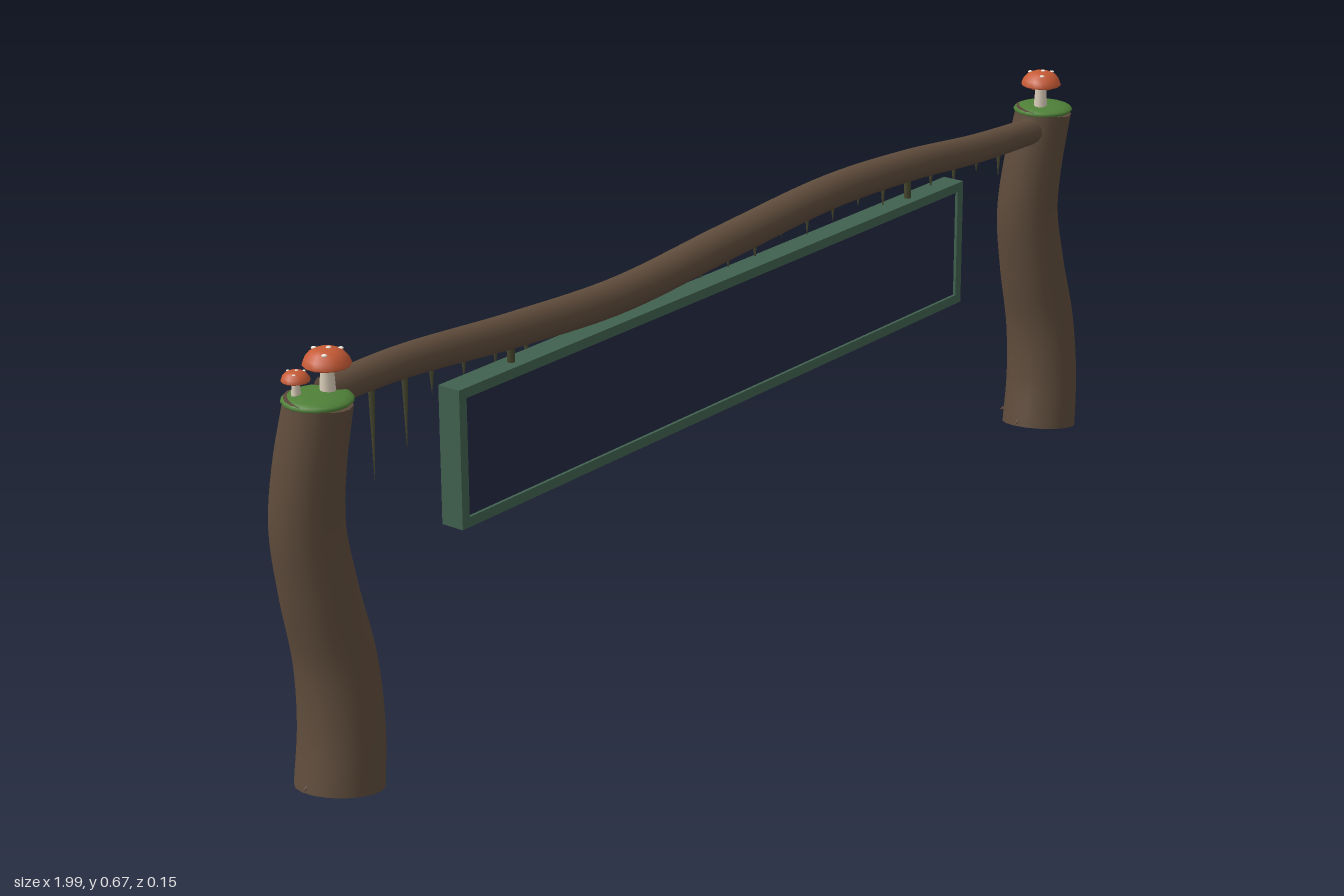
import * as THREE from 'three';

const mat = (color, side = THREE.FrontSide) =>
  new THREE.MeshStandardMaterial({ color, roughness: 0.9, side });
const BARK = mat(0x5f4c3c), FRAME = mat(0x41614f), PANEL = mat(0x23283f), MOSS = mat(0x4f8038),
  CAP = mat(0xc65a35, THREE.DoubleSide), STEM = mat(0xd8ccb8), SPOT = mat(0xeee6d8),
  VINE = mat(0x45452e), THORN = mat(0x574238);

function add(parent, name, geometry, material, x = 0, y = 0, z = 0) {
  const mesh = new THREE.Mesh(geometry, material);
  mesh.name = name;
  mesh.position.set(x, y, z);
  parent.add(mesh);
  return mesh;
}

const curveOf = pts => new THREE.CatmullRomCurve3(pts.map(p => new THREE.Vector3(...p)));

// Tapered log along a curve, closed by a disc at both ends
function log(parent, name, curve, radiusAt, segments, sides) {
  const group = new THREE.Group();
  group.name = name;
  parent.add(group);
  const geo = new THREE.TubeGeometry(curve, segments, 1, sides);
  const pos = geo.attributes.position, v = new THREE.Vector3();
  for (let i = 0; i <= segments; i++) {
    const t = i / segments, c = curve.getPointAt(t);
    for (let j = 0; j <= sides; j++) {
      const k = i * (sides + 1) + j;
      v.fromBufferAttribute(pos, k).sub(c).multiplyScalar(radiusAt(t)).add(c);
      pos.setXYZ(k, v.x, v.y, v.z);
    }
  }
  add(group, name + 'Bark', geo, BARK);
  for (const t of [0, 1]) {
    const end = curve.getPointAt(t);
    const disc = add(group, name + 'End', new THREE.CircleGeometry(radiusAt(t), sides), BARK, end.x, end.y, end.z);
    const out = curve.getTangentAt(t).multiplyScalar(t ? 1 : -1);
    disc.quaternion.setFromUnitVectors(new THREE.Vector3(0, 0, 1), out);
  }
  return group;
}

// Mushroom with a domed cap, stem and pale spots; base at y = 0
function mushroom(parent, name, x, y, z, r, height) {
  const g = new THREE.Group();
  g.name = name;
  g.position.set(x, y, z);
  parent.add(g);
  const capH = r * 0.72, base = height - capH;
  const profile = [[0.28, 0.1], [0.95, 0], [1, 0.1], [0.9, 0.45], [0.7, 0.78], [0.4, 0.96], [0, 1]]
    .map(([a, b]) => new THREE.Vector2(a * r, b * capH));
  add(g, 'mushroomCap', new THREE.LatheGeometry(profile, 14), CAP, 0, base, 0);
  add(g, 'mushroomStem', new THREE.CylinderGeometry(r * 0.26, r * 0.34, base + capH * 0.2, 10), STEM,
    0, (base + capH * 0.2) / 2, 0);
  for (let i = 0; i < 6; i++) {
    const a = i * 2.1 + 0.4, d = i ? 0.62 : 0.1;
    const spot = add(g, 'mushroomSpot', new THREE.SphereGeometry(r * 0.12, 8, 6), SPOT,
      Math.cos(a) * d * r, base + capH * (i ? 0.84 : 0.99), Math.sin(a) * d * r);
    spot.scale.y = 0.5;
  }
}

// Thorn pointing outward and slightly down
function thorn(parent, x, y, z, dir, r, length) {
  const cone = add(parent, 'rootThorn', new THREE.ConeGeometry(r, length, 7), THORN, x, y, z);
  cone.quaternion.setFromUnitVectors(new THREE.Vector3(0, 1, 0), new THREE.Vector3(...dir).normalize());
}

export function createModel() {
  const model = new THREE.Group();
  model.name = 'hangingSign';

  // Posts share one bent shape; only their caps are mirrored
  for (const [side, x] of [[-1, -0.925], [1, 0.916]]) {
    const post = new THREE.Group();
    post.name = side < 0 ? 'rightPost' : 'leftPost';
    post.position.x = x;
    model.add(post);
    const curve = curveOf([[-0.001, 0.012, 0.011], [0.013, 0.1, 0.005], [0.015, 0.2, -0.004],
      [-0.003, 0.31, -0.013], [-0.015, 0.41, -0.018], [-0.012, 0.5, -0.012], [0, 0.6, 0]]);
    log(post, 'trunk', curve, t => 0.066 - 0.017 * t, 28, 18);

    thorn(post, 0.062, 0.022, 0.0, [1, -0.4, 0], 0.007, 0.024);
    thorn(post, -0.062, 0.03, 0.005, [-1, -0.4, 0], 0.007, 0.02);
    thorn(post, 0.0, 0.026, -0.057, [0, -0.55, -1], 0.013, 0.04);

    // Moss cushion and mushrooms
    const moss = add(post, 'moss', new THREE.SphereGeometry(0.052, 18, 10), MOSS, 0, 0.601, -0.002);
    moss.scale.y = 0.21;
    mushroom(post, 'largeMushroom', -side * 0.016, 0.605, 0.003, 0.035, 0.068);
    mushroom(post, 'smallMushroom', side * 0.022, 0.605, -0.021, 0.021, 0.04);
  }

  // Wavy crossbeam
  const beam = curveOf([[-0.9, 0.603, -0.01], [-0.75, 0.602, -0.011], [-0.5, 0.582, -0.01],
    [-0.26, 0.571, -0.008], [0, 0.588, -0.005], [0.28, 0.604, -0.002], [0.5, 0.597, 0.002],
    [0.7, 0.579, 0.003], [0.9, 0.569, 0.003]]);
  log(model, 'crossbeam', beam, t => 0.023 + 0.006 * Math.sin(Math.PI * t), 64, 14);

  // Vines under the beam, long beside the right post
  const count = 26, long = [0.145, 0.15, 0.12];
  for (let i = 0; i < count; i++) {
    const p = beam.getPointAt(0.015 + 0.965 * i / (count - 1));
    const length = long[i] ?? 0.042 + 0.012 * Math.sin(i * 2.4);
    const cone = add(model, 'vine', new THREE.ConeGeometry(0.0055, length, 6), VINE,
      p.x, p.y - 0.02 - length / 2, p.z - (i < 3 ? 0.004 : 0.016));
    cone.rotation.x = Math.PI;
  }

  // Sign board: frame with a panel recessed on both faces
  const sign = new THREE.Group();
  sign.name = 'signBoard';
  sign.position.set(-0.006, 0.428, -0.004);
  model.add(sign);
  const w = 0.648, h = 0.109, b = 0.016, depth = 0.04;
  const rect = (S, a, c) => new S([[-a, -c], [a, -c], [a, c], [-a, c]].map(p => new THREE.Vector2(...p)));
  const outline = rect(THREE.Shape, w, h);
  outline.holes.push(rect(THREE.Path, w - b, h - b));
  add(sign, 'signFrame', new THREE.ExtrudeGeometry(outline, { depth, bevelEnabled: false }), FRAME, 0, 0, -depth / 2);
  add(sign, 'signPanel', new THREE.BoxGeometry(2 * (w - b), 2 * (h - b), depth - 0.01), PANEL);

  // Hangers between beam and board
  for (const x of [-0.515, 0.505])
    add(model, 'hanger', new THREE.CylinderGeometry(0.006, 0.006, 0.055, 8), VINE, x, 0.56, -0.005);

  return model;
}
